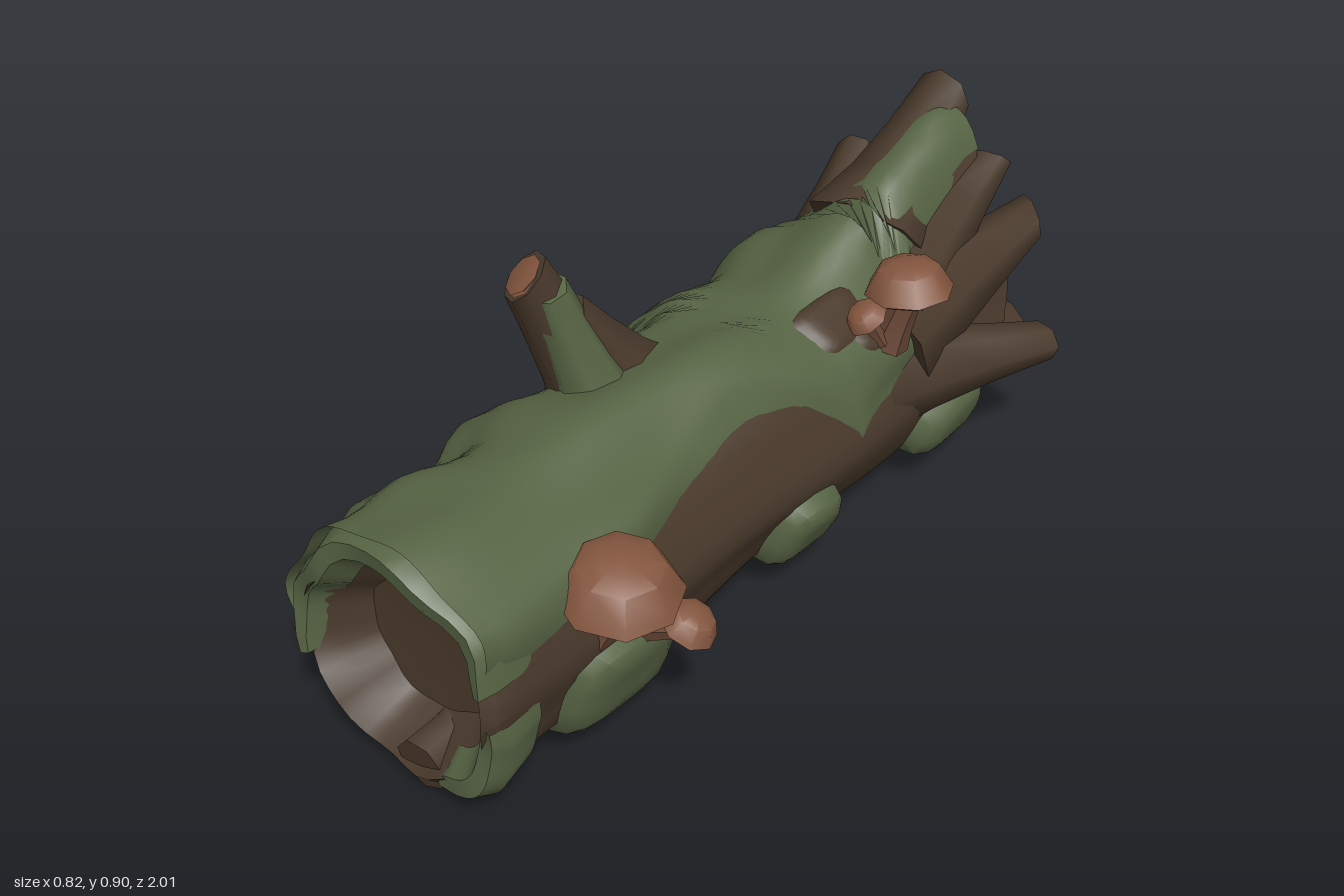
import * as THREE from 'three';
import { toCreasedNormals } from 'three/addons/utils/BufferGeometryUtils.js';

const { sin, cos, exp, max, min, PI, pow, abs, sign } = Math;

// Interpolates a list of [position, value] pairs, ordered by falling position
function along(list, z) {
  if (z >= list[0][0]) return list[0][1];
  for (let i = 1; i < list.length; i++) {
    const [z0, v0] = list[i - 1], [z1, v1] = list[i];
    if (z >= z1) return v0 + (v1 - v0) * (z0 - z) / (z0 - z1);
  }
  return list[list.length - 1][1];
}

// Log radius at angle a (0 = top, positive towards +x); the rear top rises to a broken crest
function radius(a, z) {
  const w = Math.atan2(sin(a), cos(a)) - 0.1;
  const crest = 0.26 * pow(max(0, -z - 0.15) / 0.7, 1.35) * exp(-w * w / 0.13);
  return 0.276 + 0.008 * sin(5 * a + 3 * z) + 0.007 * sin(8 * z + 2 * a) + 0.006 * sin(9 * a) + crest;
}

function onLog(a, z, off = 0, k = 1, zShift = 0) {
  const r = radius(a, z) * k + off;
  return [-0.05 - 0.018 * z + r * sin(a), 0.3 + r * cos(a), z + zShift];
}

// Surface from rows x cols points given by fn(u, v)
function grid(rows, cols, fn) {
  const pos = [], idx = [];
  for (let i = 0; i <= rows; i++)
    for (let j = 0; j <= cols; j++) pos.push(...fn(i / rows, j / cols, i));
  for (let i = 0; i < rows; i++)
    for (let j = 0; j < cols; j++) {
      const p = i * (cols + 1) + j, q = p + cols + 1;
      idx.push(p, q, p + 1, p + 1, q, q + 1);
    }
  const g = new THREE.BufferGeometry();
  g.setAttribute('position', new THREE.Float32BufferAttribute(pos, 3));
  g.setIndex(idx);
  return toCreasedNormals(g, 0.8);
}

export function createModel() {
  const group = new THREE.Group();
  const mat = (name, color, side = THREE.FrontSide) => {
    const m = new THREE.MeshStandardMaterial({ color, side });
    m.name = name;
    return m;
  };
  const bark = mat('bark', 0x49392b);
  const moss = mat('moss', 0x576444, THREE.DoubleSide);
  const cap = mat('mushroomCap', 0x84563f);
  const stem = mat('mushroomStem', 0x694736);

  const add = (name, geo, material) => {
    const m = new THREE.Mesh(geo, material);
    m.name = name;
    group.add(m);
    return m;
  };

  // Tapered round piece between two points, with a flared root and a slanted tip
  const limb = (name, from, to, r0, r1, material, sides = 7, slantX = 0, slantZ = 0) => {
    const a = new THREE.Vector3(...from), b = new THREE.Vector3(...to);
    const d = b.clone().sub(a), len = d.length();
    const g = new THREE.CylinderGeometry(r1, r0, len, sides, 3);
    const p = g.attributes.position;
    for (let i = 0; i < p.count; i++) {
      const x = p.getX(i), z = p.getZ(i), t = p.getY(i) / len + 0.5;
      const flare = 1 - 0.5 * t * (1 - t);
      p.setXYZ(i, x * flare, p.getY(i) + (t > 0.9 ? slantX * x + slantZ * z : 0), z * flare);
    }
    const m = add(name, toCreasedNormals(g, 1), material);
    m.position.copy(a).add(b).multiplyScalar(0.5);
    m.quaternion.setFromUnitVectors(new THREE.Vector3(0, 1, 0), d.normalize());
    return m;
  };

  // Log with a shallow hollow at both ends, as [z, radius factor]
  const path = [[-0.74, 0], [-0.74, 0.55], [-0.8, 0.74], [-0.87, 0.9], [-0.86, 1]];
  for (let i = 0; i <= 18; i++) path.push([-0.8 + i * 0.094, 1]);
  path.push([0.95, 1.0], [0.975, 0.91], [0.92, 0.76], [0.86, 0.62], [0.85, 0]);
  add('log', grid(path.length - 1, 40, (u, v, i) => {
    const [z, k] = path[i], a = PI + v * 2 * PI;
    const jag = z < -0.84 ? -0.025 * sin(7 * a) : z > 0.94 ? 0.012 * sin(5 * a) : 0;
    return onLog(a, z, 0, k, jag);
  }), bark);

  // Moss blanket over the top, with ragged side edges
  const rightEdge = [[0.98, 1.22], [0.9, 1.32], [0.5, 1.2], [0.33, 1], [0.1, 0.85], [-0.03, 0.95],
    [-0.16, 1.3], [-0.2, 1.58], [-0.3, 1.45], [-0.5, 1.45], [-0.55, 0.8], [-0.7, 0.5], [-0.86, 0.3]];
  const leftEdge = [[0.98, -1.75], [0.7, -1.8], [0.55, -1.4], [0.35, -1.5], [0.15, -2], [-0.05, -1.9],
    [-0.15, -1.3], [-0.3, -1.2], [-0.45, -1.6], [-0.6, -2.1], [-0.8, -2], [-0.9, -1.6]];
  add('mossBlanket', grid(36, 36, (u, v) => {
    const z = -0.89 + u * 1.86;
    const lo = along(leftEdge, z), hi = along(rightEdge, z);
    const a = lo + (hi - lo) * v;
    const ramp = min(1, 8 * min(v, 1 - v), 25 * u);
    const bulge = max(0, -sin(a)) * (0.01 + 0.024 * sin(20.9 * z - 1.55));
    const lump = 0.009 * sin(11 * z + 3 * a) * sin(4 * a - 3 * z);
    return onLog(a, z, -0.012 + ramp * (0.043 + lump + bulge));
  }), moss);

  // Moss rolled over the front rim
  const roll = [[0.85, 1.05], [0.94, 1.1], [0.985, 1.02], [0.98, 0.88], [0.92, 0.75]];
  for (const [a0, a1] of [[-1.85, 1.3], [1.65, 2.75]])
    add('rimMoss', grid(roll.length - 1, 20, (u, v, i) => {
      const a = a0 + (a1 - a0) * v, end = min(1, 6 * min(v, 1 - v));
      const [z, k] = roll[i];
      return onLog(a, z, 0, 0.93 + (k - 0.93) * (0.5 + 0.5 * end), 0.008 * sin(6 * a));
    }), moss);

  // Squarish patches lying on the log: z, half length, angle, half angle, edge and centre height
  const square = (x) => sign(x) * pow(abs(x), 0.65);
  const patch = (name, zc, rz, ac, ra, h0, h1, material) =>
    add(name, grid(5, 16, (s, v) => {
      const t = v * 2 * PI, w = s * (1 + 0.07 * sin(3 * t + zc * 9));
      return onLog(ac + ra * w * square(sin(t)), zc + rz * w * square(cos(t)), h0 + (h1 - h0) * (1 - pow(s, 5)));
    }), material);
  patch('sideMoss', 0.6, 0.19, 2.05, 0.52, -0.02, 0.05, moss);
  patch('sideMoss', -0.04, 0.13, 2.06, 0.39, -0.02, 0.06, moss);
  patch('sideMoss', -0.62, 0.155, 2.05, 0.37, -0.02, 0.06, moss);
  patch('sideMoss', 0.42, 0.17, -2.25, 0.36, -0.02, 0.035, moss);
  patch('sideMoss', -0.7, 0.15, -2.35, 0.4, -0.02, 0.035, moss);
  patch('barkPatch', -0.27, 0.1, 0.55, 0.22, 0.025, 0.045, bark);
  patch('barkPatch', -0.36, 0.09, 0.78, 0.15, 0.025, 0.045, bark);

  // Broken splinters fanning from the rear end: base, tip, base radius, tip radius
  const splinters = [
    [[-0.02, 0.58, -0.62], [-0.03, 0.83, -0.94], 0.17, 0.068],
    [[0.07, 0.46, -0.55], [0.11, 0.7, -0.94], 0.16, 0.05],
    [[0.1, 0.4, -0.5], [0.22, 0.56, -0.97], 0.17, 0.055],
    [[0.1, 0.32, -0.42], [0.36, 0.33, -0.82], 0.15, 0.05],
    [[0.08, 0.25, -0.55], [0.19, 0.25, -0.98], 0.15, 0.062],
    [[0.03, 0.16, -0.6], [0.08, 0.1, -0.9], 0.12, 0.06],
    [[-0.12, 0.15, -0.6], [-0.13, 0.09, -0.9], 0.12, 0.06],
    [[-0.2, 0.3, -0.6], [-0.27, 0.32, -0.89], 0.12, 0.055],
    [[-0.15, 0.44, -0.58], [-0.24, 0.63, -0.88], 0.13, 0.05],
  ];
  splinters.forEach(([b, t, r0, r1], i) =>
    limb('splinter', b, t, r0, r1, bark, 7, 0.4 * sin(i * 2.4), 0.4 * cos(i * 2.4)));
  limb('rimLump', [-0.03, 0.09, 0.72], [-0.03, 0.062, 0.965], 0.07, 0.065, bark, 7);

  // Branch stub with a slanted cut tip, flared root and moss on its side
  limb('branch', [-0.165, 0.48, 0.2], [-0.232, 0.855, 0.36], 0.12, 0.059, bark, 8, 0.3, -0.3);
  limb('branchRoot', [-0.15, 0.48, 0.12], [-0.2, 0.74, 0.29], 0.13, 0.06, bark, 7);
  const cut = limb('branchCut', [-0.232, 0.853, 0.36], [-0.233, 0.86, 0.363], 0.05, 0.05, cap, 8);
  cut.rotation.set(0.65, 0, 0.4);
  limb('branchMoss', [-0.135, 0.52, 0.25], [-0.2, 0.83, 0.338], 0.095, 0.05, moss, 7, -0.3);

  // Mushrooms: foot, cap centre, cap radius, cap height, tilt about z and x
  const mushroom = (foot, top, r, h, tiltZ, tiltX) => {
    limb('mushroomStem', foot, top, r * 0.5, r * 0.36, stem, 6);
    const profile = [[0, 0], [0.72, -0.06], [1, 0.16], [0.94, 0.3], [0.68, 0.88], [0.35, 1.04], [0, 1.08]]
      .map(([x, y]) => new THREE.Vector2(x * r, y * h));
    const m = add('mushroomCap', toCreasedNormals(new THREE.LatheGeometry(profile, 8), 0.8), cap);
    m.position.set(...top);
    m.rotation.set(tiltX, 0, tiltZ);
  };
  mushroom([0.16, 0.3, 0.66], [0.235, 0.425, 0.64], 0.135, 0.1, -0.15, 0.08);
  mushroom([0.21, 0.28, 0.57], [0.325, 0.32, 0.54], 0.065, 0.05, -0.45, -0.2);
  mushroom([0.19, 0.48, -0.38], [0.23, 0.615, -0.4], 0.103, 0.078, 0.08, 0);
  mushroom([0.19, 0.5, -0.35], [0.175, 0.565, -0.32], 0.052, 0.04, 0.3, 0.5);

  return group;
}
